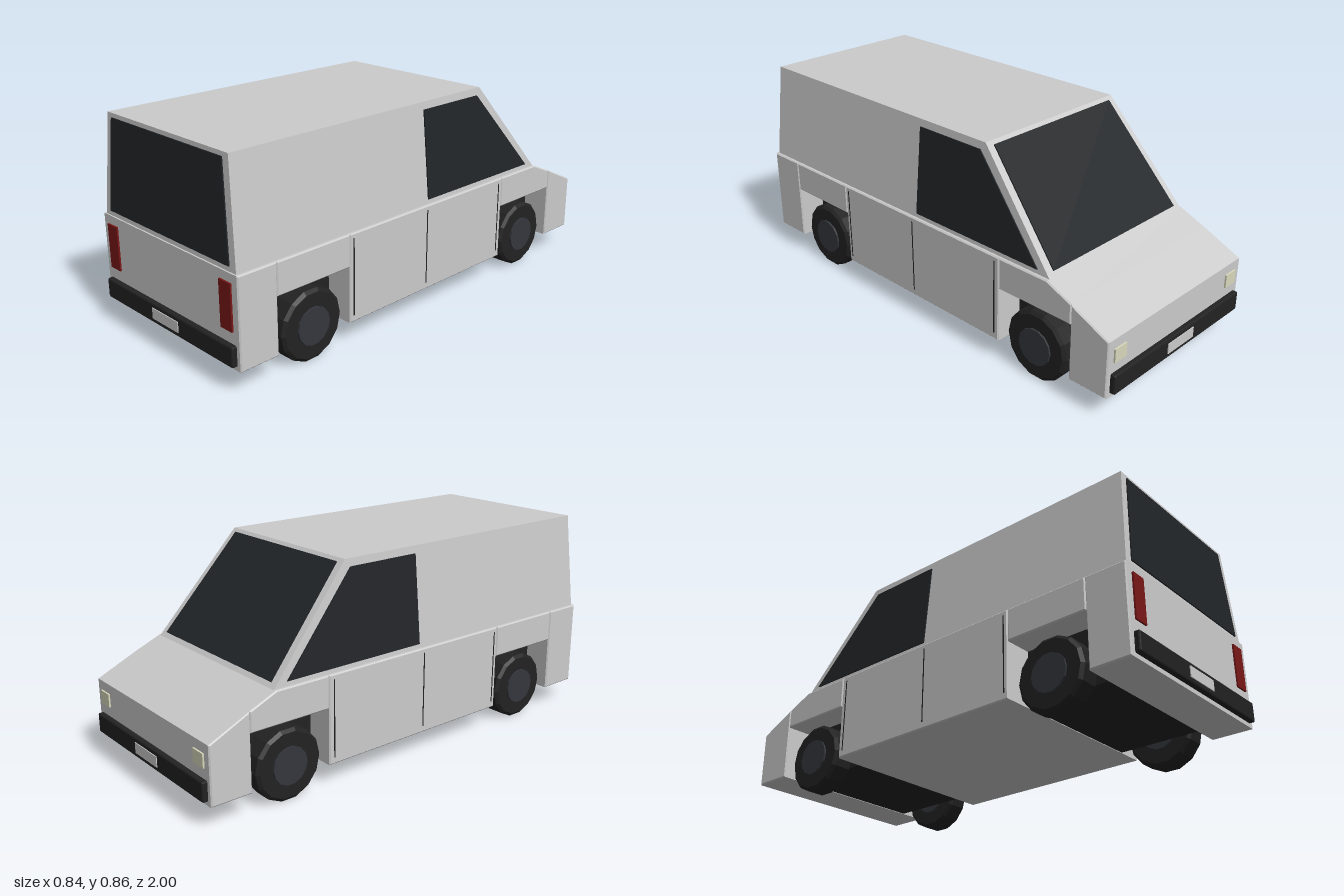
import * as THREE from 'three';
import { ConvexGeometry } from 'three/addons/geometries/ConvexGeometry.js';
import { RoundedBoxGeometry } from 'three/addons/geometries/RoundedBoxGeometry.js';

const mat = (color) => new THREE.MeshStandardMaterial({ color, flatShading: true });
const paint = mat(0xcccccc), black = mat(0x222222), glass = mat(0x222528);
const red = mat(0x7a1717), lamp = mat(0xd8d8bc), hubGrey = mat(0x34373d);
const V = (x, y, z) => new THREE.Vector3(x, y, z);

export function createModel() {
  const group = new THREE.Group();
  const add = (name, geometry, material, x = 0, y = 0, z = 0) => {
    const mesh = new THREE.Mesh(geometry, material);
    mesh.name = name;
    mesh.position.set(x, y, z);
    group.add(mesh);
    return mesh;
  };

  // Side profile of [z, y] points extruded across the width, with a slim bevel
  const section = (name, points, halfWidth) => {
    const b = 0.005;
    const shape = new THREE.Shape(points.map(([z, y]) => new THREE.Vector2(z, y)));
    const geo = new THREE.ExtrudeGeometry(shape, {
      depth: 2 * (halfWidth - b), bevelEnabled: true, bevelSize: b, bevelThickness: b,
      bevelOffset: -b, bevelSegments: 1,
    });
    geo.translate(0, 0, -(halfWidth - b)).rotateY(-Math.PI / 2);
    add(name, geo, paint);
  };

  // Lower body: tail, middle, nose and the panels above the wheels
  const low = 0.095, belt = 0.457, arch = 0.325, w = 0.418;
  section('tailSection', [[0.805, low], [0.975, low], [0.975, belt], [0.805, belt]], w);
  section('rearFender', [[0.455, arch], [0.805, arch], [0.805, belt], [0.455, belt]], w);
  section('middleSection', [[-0.455, low], [0.455, low], [0.455, belt], [-0.455, belt]], w);
  section('frontFender', [[-0.805, arch], [-0.455, arch], [-0.455, belt], [-0.69, belt], [-0.805, 0.408]], w);
  section('noseSection', [[-0.975, low], [-0.805, low], [-0.805, 0.408], [-0.975, 0.33]], w);

  // Cabin: tapered block with a sloping front
  const yb = 0.45, yt = 0.866;
  const cabin = [];
  for (const s of [-1, 1]) {
    cabin.push(V(s * 0.405, yb, 0.969), V(s * 0.405, yb, -0.698));
    cabin.push(V(s * 0.365, yt, 0.95), V(s * 0.365, yt, -0.337));
  }
  add('cabin', new ConvexGeometry(cabin), paint);

  // Thin pane standing just proud of the cabin surface
  const pane = (name, corners, outward) => {
    const n = outward.clone().normalize();
    const pts = corners.flatMap((p) => [
      p.clone().addScaledVector(n, -0.004), p.clone().addScaledVector(n, 0.005)]);
    add(name, new ConvexGeometry(pts), glass);
  };
  const h = yt - yb;
  const at = (y, a, b) => a + (b - a) * (y - yb) / h;
  const endPane = (name, zb, zt, y0, y1, dir) => {
    const pts = [];
    for (const s of [-1, 1]) {
      pts.push(V(s * 0.37, y0, at(y0, zb, zt)), V(s * 0.335, y1, at(y1, zb, zt)));
    }
    pane(name, pts, V(0, Math.abs(zt - zb), dir * h));
  };
  endPane('rearWindow', 0.969, 0.95, 0.477, 0.849, 1);
  endPane('windscreen', -0.698, -0.337, 0.472, 0.852, -1);
  for (const s of [-1, 1]) {
    const p = (y, z) => V(s * at(y, 0.405, 0.365), y, z);
    pane(s > 0 ? 'leftSideWindow' : 'rightSideWindow',
      [p(0.475, 0.01), p(0.835, 0.01), p(0.835, -0.315), p(0.475, -0.635)],
      V(s * h, 0.04, 0));
  }

  // Tyre with bevelled shoulders, closed at both sides
  const tyreGeo = new THREE.LatheGeometry([
    [0, -0.047], [0.132, -0.047], [0.145, -0.036], [0.145, 0.036], [0.132, 0.047], [0, 0.047],
  ].map(([r, y]) => new THREE.Vector2(r, y)), 14).rotateZ(-Math.PI / 2);
  const hubGeo = new THREE.CylinderGeometry(0.076, 0.076, 0.11, 14).rotateZ(Math.PI / 2);

  // Wheels, with a dark housing between each pair
  for (const z of [0.63, -0.63]) {
    add('wheelHousing', new THREE.BoxGeometry(0.6, 0.228, 0.349), black, 0, 0.211, z);
    for (const s of [-1, 1]) {
      add('tyre', tyreGeo, black, s * 0.355, 0.145, z);
      add('wheelHub', hubGeo, hubGrey, s * 0.355, 0.145, z);
    }
  }

  // Bumpers and plates at both ends
  for (const e of [-1, 1]) {
    add('bumper', new RoundedBoxGeometry(0.795, 0.08, 0.035, 1, 0.006), black, 0, 0.152, e * 0.979);
    add('plate', new THREE.BoxGeometry(0.163, 0.044, 0.01), paint, 0, 0.153, e * 0.995);
  }

  // Lamps and door seams on each side
  for (const s of [-1, 1]) {
    add('tailLamp', new THREE.BoxGeometry(0.064, 0.182, 0.016), red, s * 0.352, 0.331, 0.974);
    add('headlamp', new THREE.BoxGeometry(0.066, 0.056, 0.016), lamp, s * 0.352, 0.263, -0.974);
    for (const z of [0.436, 0.027, -0.432]) {
      add('doorSeam', new THREE.BoxGeometry(0.006, 0.315, 0.005), black, s * 0.416, 0.28, z);
    }
  }
  return group;
}
